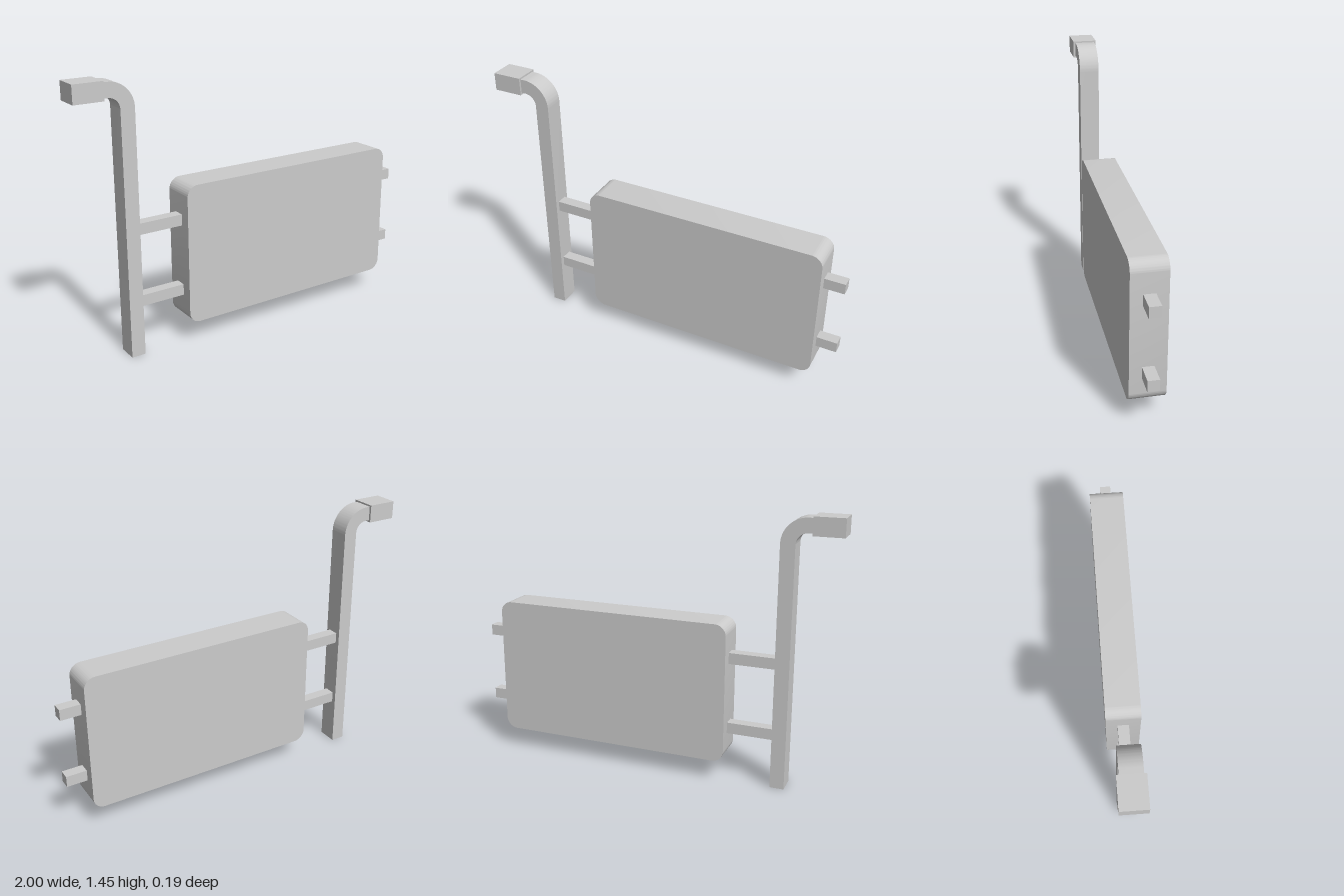
import * as THREE from 'three';
import { toCreasedNormals } from 'three/addons/utils/BufferGeometryUtils.js';

const material = new THREE.MeshStandardMaterial({ color: 0xcccccc });

export function createModel() {
  const group = new THREE.Group();

  const add = (name, geometry) => {
    const mesh = new THREE.Mesh(geometry, material);
    mesh.name = name;
    group.add(mesh);
  };

  // Box given by its extents in x and y and its depth, centred on z = 0
  const bar = (name, x0, x1, y0, y1, depth) =>
    add(name, new THREE.BoxGeometry(x1 - x0, y1 - y0, depth)
      .translate((x0 + x1) / 2, (y0 + y1) / 2, 0));

  // Shape in the xy plane extruded evenly about z = 0, smooth only on its curves
  const slab = (name, shape, depth) => {
    const geometry = new THREE.ExtrudeGeometry(shape, { depth, bevelEnabled: false, curveSegments: 16 });
    add(name, toCreasedNormals(geometry.translate(0, 0, -depth / 2), Math.PI / 6));
  };

  // Upright post that bends over towards the cap
  const cx = -0.82, cy = 1.305, outer = 0.136, inner = 0.06, tip = -0.86;
  const post = new THREE.Shape();
  post.moveTo(cx + inner, 0);
  post.lineTo(cx + outer, 0);
  post.lineTo(cx + outer, cy);
  post.absarc(cx, cy, outer, 0, Math.PI / 2, false);
  post.lineTo(tip, cy + outer);
  post.lineTo(tip, cy + inner);
  post.lineTo(cx, cy + inner);
  post.absarc(cx, cy, inner, Math.PI / 2, 0, true);
  post.closePath();
  slab('post', post, 0.11);

  // Block on the end of the post
  bar('endCap', -1, -0.843, 1.355, 1.45, 0.134);

  // Panel with rounded corners
  const x0 = -0.433, x1 = 0.888, y0 = 0.115, y1 = 0.875, r = 0.062;
  const panel = new THREE.Shape();
  panel.absarc(x1 - r, y0 + r, r, -Math.PI / 2, 0, false);
  panel.absarc(x1 - r, y1 - r, r, 0, Math.PI / 2, false);
  panel.absarc(x0 + r, y1 - r, r, Math.PI / 2, Math.PI, false);
  panel.absarc(x0 + r, y0 + r, r, Math.PI, Math.PI * 1.5, false);
  panel.closePath();
  slab('panel', panel, 0.185);

  // Two rails: one part joins post and panel, a stub sticks out on the far side
  for (const [name, y] of [['lower', 0.29], ['upper', 0.68]]) {
    bar(name + 'Rail', -0.684, x0, y - 0.03, y + 0.03, 0.06);
    bar(name + 'Stub', x1, 1, y - 0.03, y + 0.03, 0.06);
  }

  return group;
}
